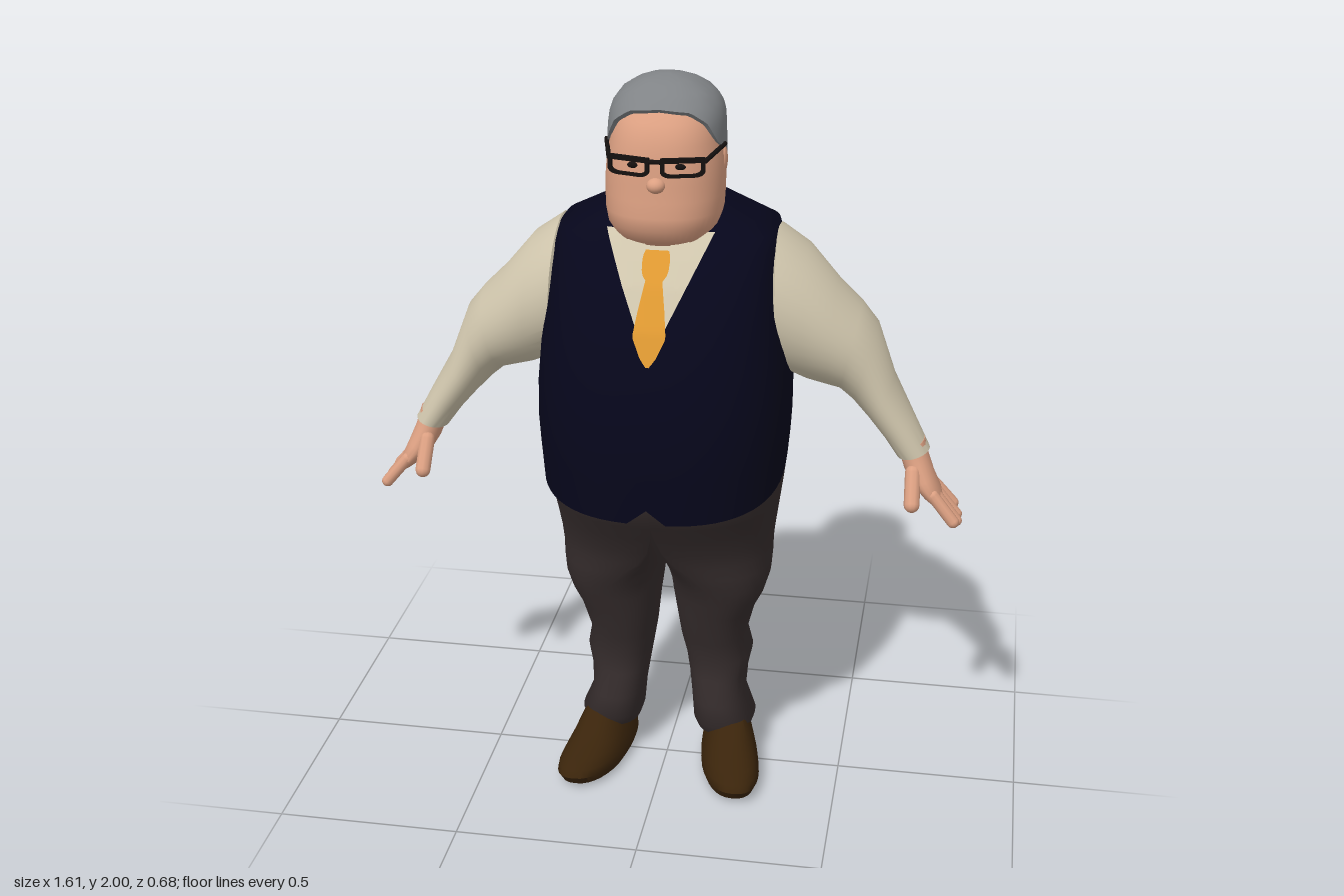
import * as THREE from 'three';
import { toCreasedNormals } from 'three/addons/utils/BufferGeometryUtils.js';

const mat = (name, color, side = THREE.FrontSide) => new THREE.MeshStandardMaterial({ name, color, side });
const V = (x, y, z) => new THREE.Vector3(x, y, z);

// Smooth skin through rings of points, capped at both ends and turned outward
function loft(rings, crease = 0.9) {
  const n = rings[0].length, pos = [], idx = [];
  rings.forEach(r => r.forEach(p => pos.push(p.x, p.y, p.z)));
  for (let i = 0; i < rings.length - 1; i++) for (let j = 0; j < n; j++) {
    const a = i * n + j, b = i * n + (j + 1) % n;
    idx.push(a, b, a + n, b, b + n, a + n);
  }
  [0, rings.length - 1].forEach(i => {
    const c = rings[i].reduce((s, p) => s.add(p), V(0, 0, 0)).divideScalar(n);
    const k = pos.length / 3;
    pos.push(c.x, c.y, c.z);
    for (let j = 0; j < n; j++) {
      const a = i * n + j, b = i * n + (j + 1) % n;
      i === 0 ? idx.push(k, b, a) : idx.push(k, a, b);
    }
  });
  const at = i => V(pos[3 * i], pos[3 * i + 1], pos[3 * i + 2]);
  let volume = 0;
  for (let i = 0; i < idx.length; i += 3) volume += at(idx[i]).dot(at(idx[i + 1]).cross(at(idx[i + 2])));
  if (volume < 0) idx.reverse();
  const g = new THREE.BufferGeometry();
  g.setAttribute('position', new THREE.Float32BufferAttribute(pos, 3));
  g.setIndex(idx);
  return toCreasedNormals(g, crease);
}

// Point on a superellipse
const sp = (v, n) => Math.sign(v) * Math.abs(v) ** (2 / n);
const section = (a, cx, y, rx, front, back, n) =>
  V(cx + rx * sp(Math.cos(a), n), y, (front + back) / 2 + (front - back) / 2 * sp(Math.sin(a), n));
const around = (seg, f) => Array.from({ length: seg }, (_, i) => f(i / seg * Math.PI * 2));
// rows: [y, half width, front z, back z]
const level = ([y, rx, f, b], n, seg = 48, cx = 0) => around(seg, a => section(a, cx, y, rx, f, b, n));

// Linear lookup in rows sorted by their first number
function sample(rows, t) {
  let i = 0;
  while (i < rows.length - 2 && t > rows[i + 1][0]) i++;
  const k = THREE.MathUtils.clamp((t - rows[i][0]) / (rows[i + 1][0] - rows[i][0]), 0, 1);
  return rows[i].map((v, j) => v + (rows[i + 1][j] - v) * k);
}

// Vest rows end with the squareness of the section
const VEST = [[0.95, 0.325, 0.33, -0.333, 2.5], [1.03, 0.332, 0.338, -0.333, 2.5], [1.1, 0.336, 0.34, -0.326, 2.5],
  [1.2, 0.336, 0.326, -0.317, 2.5], [1.3, 0.328, 0.3, -0.312, 2.6], [1.4, 0.314, 0.26, -0.308, 2.8],
  [1.5, 0.302, 0.2, -0.285, 3.2], [1.56, 0.295, 0.152, -0.258, 3.4], [1.6, 0.285, 0.118, -0.235, 3.4],
  [1.625, 0.235, 0.095, -0.218, 3.2], [1.66, 0.165, 0.06, -0.19, 3], [1.69, 0.115, 0.02, -0.155, 2.6],
  [1.7, 0.07, 0, -0.13, 2.4]];
function vestFront(x, y) {
  const [, rx, f, b, n] = sample(VEST, y);
  const k = Math.min(1, Math.abs(x) / rx);
  return (f + b) / 2 + (f - b) / 2 * (1 - k ** n) ** (1 / n);
}

// Thin cloth lying on the front of the vest between two edges
function drape(left, right, y0, y1, lift) {
  const g = new THREE.PlaneGeometry(1, 1, 10, 24), p = g.attributes.position;
  for (let i = 0; i < p.count; i++) {
    const y = y0 + (y1 - y0) * (p.getY(i) + 0.5);
    const x = left(y) + (right(y) - left(y)) * (p.getX(i) + 0.5);
    p.setXYZ(i, x, y, vestFront(x, y) + lift);
  }
  g.computeVertexNormals();
  return g;
}

export function createModel() {
  const skin = mat('skin', 0xdca082), hairGrey = mat('hair grey', 0x808386), navy = mat('navy', 0x06061b);
  const cream = mat('cream', 0xd0c6ad, THREE.DoubleSide), orange = mat('orange', 0xdf9932, THREE.DoubleSide);
  const trouser = mat('trouser brown', 0x362d2d), leather = mat('leather', 0x3a240b), black = mat('black', 0x14100f);

  const model = new THREE.Group();
  model.name = 'man';
  const add = (name, geo, material, parent = model) => {
    const m = new THREE.Mesh(geo, material);
    m.name = name;
    parent.add(m);
    return m;
  };
  const ball = (name, m, parent, x, y, z, sx, sy, sz) => {
    const o = add(name, new THREE.SphereGeometry(1, 20, 14), m, parent);
    o.position.set(x, y, z);
    o.scale.set(sx, sy, sz);
  };
  const rod = (name, m, parent, a, b, r) => {
    const d = b.clone().sub(a);
    const o = add(name, new THREE.CapsuleGeometry(r, d.length() - 2 * r, 5, 10), m, parent);
    o.position.copy(a).add(b).multiplyScalar(0.5);
    o.quaternion.setFromUnitVectors(V(0, 1, 0), d.normalize());
  };

  // Vest: hem drops toward the front, with a notch in the middle
  const vestRings = VEST.map(r => level(r, r[4], 64));
  vestRings[0].forEach(p => {
    p.y = 0.945 - 0.16 * p.z;
    if (p.z > 0 && Math.abs(p.x) < 0.02) p.y += 0.04;
  });
  vestRings[1].forEach(p => { p.y -= 0.05 * p.z; });
  add('vest', loft(vestRings), navy);

  // Shirt front, collar and tie
  const neck = y => 0.14 * (y - 1.33) / 0.29;
  add('shirtFront', drape(y => -neck(y), neck, 1.33, 1.62, 0.006), cream);
  const TIE = [[1.32, 0.004], [1.34, 0.02], [1.39, 0.043], [1.45, 0.034], [1.515, 0.022], [1.53, 0.034], [1.565, 0.036],
    [1.58, 0.03]];
  const tie = y => sample(TIE, y)[1];
  add('tie', drape(y => -tie(y), tie, 1.32, 1.58, 0.013), orange);
  const inner = y => 0.03 + (1.6 - y) * 0.25, outer = y => inner(y) + 0.002 + (y - 1.49) * 0.6;
  add('collarLeft', drape(inner, outer, 1.49, 1.6, 0.014), cream);
  add('collarRight', drape(y => -outer(y), y => -inner(y), 1.49, 1.6, 0.014), cream);

  // Limbs, one group for each side
  for (const s of [1, -1]) {
    const side = new THREE.Group();
    side.name = s > 0 ? 'leftLimbs' : 'rightLimbs';
    side.scale.x = s;
    model.add(side);

    // Trouser half, meeting its mirror at x = 0 above the crotch
    // rows: y, inner x, middle x, outer x, front z, back z
    add('trouserLeg', loft([[1.04, 0, 0, 0.312, 0.28, -0.31], [0.96, 0, 0, 0.32, 0.31, -0.337],
      [0.9, 0, 0, 0.319, 0.3, -0.338], [0.85, 0, 0, 0.312, 0.27, -0.326], [0.8, 0, 0.006, 0.305, 0.237, -0.302],
      [0.74, 0, 0.022, 0.297, 0.2, -0.272], [0.69, 0, 0.055, 0.292, 0.175, -0.246], [0.65, 0.003, 0.1, 0.291, 0.16, -0.23],
      [0.6, 0.012, 0.14, 0.287, 0.14, -0.21], [0.55, 0.018, 0.145, 0.272, 0.122, -0.19],
      [0.5, 0.025, 0.138, 0.247, 0.105, -0.175], [0.4, 0.037, 0.13, 0.222, 0.07, -0.17],
      [0.33, 0.05, 0.142, 0.236, 0.05, -0.184], [0.27, 0.06, 0.142, 0.224, 0.052, -0.182],
      [0.2, 0.07, 0.146, 0.22, 0.07, -0.168], [0.13, 0.075, 0.162, 0.25, 0.066, -0.152],
      [0.1, 0.085, 0.165, 0.24, 0.05, -0.148]]
      .map(([y, a, c, b, f, k]) => around(40, t => section(t, c, y, Math.cos(t) > 0 ? b - c : c - a, f, k, 2.35)))),
      trouser, side);

    // Shoe: toes turned out and slightly raised
    const shoeRings = [[0, 0.074, 0.235, -0.135], [0.025, 0.083, 0.253, -0.143], [0.045, 0.081, 0.243, -0.143],
      [0.065, 0.076, 0.205, -0.142], [0.085, 0.07, 0.15, -0.14], [0.115, 0.062, 0.095, -0.138], [0.145, 0.05, 0.06, -0.125]]
      .map(r => level(r, 2.4, 32, 0.182));
    shoeRings.flat().forEach(p => {
      p.x += 0.18 * p.z;
      p.y += p.z > 0.1 ? (p.z - 0.1) * 0.1 : 0;
    });
    add('shoe', loft(shoeRings), leather, side);

    // Sleeve rows: upper edge x, y, lower edge x, y, front z, back z
    add('sleeve', loft([[0.255, 1.55, 0.26, 1.28, 0.05, -0.17], [0.29, 1.602, 0.305, 1.215, 0.115, -0.23],
      [0.365, 1.55, 0.375, 1.185, 0.105, -0.226], [0.445, 1.455, 0.43, 1.17, 0.085, -0.216],
      [0.51, 1.39, 0.46, 1.16, 0.065, -0.21], [0.555, 1.335, 0.495, 1.13, 0.052, -0.196],
      [0.605, 1.2, 0.54, 1.085, 0.043, -0.16], [0.66, 1.1, 0.585, 1.035, 0.038, -0.118],
      [0.708, 1.01, 0.622, 0.985, 0.034, -0.09]]
      .map(([ux, uy, lx, ly, f, b]) => around(32, a => {
        const c = 0.5 + Math.cos(a) / 2;
        return V(lx + (ux - lx) * c, ly + (uy - ly) * c, (f + b) / 2 + (f - b) / 2 * Math.sin(a));
      }))), cream, side);

    // Hand
    const hand = new THREE.Group();
    hand.name = 'hand';
    side.add(hand);
    add('palm', loft([[0.66, 1.02, 0.04, 0.026, -0.075], [0.675, 0.975, 0.038, 0.034, -0.066],
      [0.695, 0.935, 0.034, 0.055, -0.062], [0.722, 0.895, 0.026, 0.057, -0.062], [0.738, 0.872, 0.016, 0.05, -0.056]]
      .map(([x, y, t, f, b]) => around(20, a => {
        const c = t * Math.cos(a);
        return V(x + c * 0.85, y + c * 0.5, (f + b) / 2 + (f - b) / 2 * Math.sin(a));
      }))), skin, hand);
    [[0.04, 0.056, 0.82], [0.011, 0.017, 0.808], [-0.018, -0.02, 0.81], [-0.045, -0.054, 0.828]].forEach(([z0, z1, y], i) =>
      rod('finger' + (i + 1), skin, hand, V(0.715, 0.912, z0), V(0.8 - (y - 0.808) * 0.6, y, z1), 0.0165));
    rod('thumb', skin, hand, V(0.668, 0.975, 0.018), V(0.672, 0.868, 0.09), 0.021);
  }

  // Head
  const head = new THREE.Group();
  head.name = 'head';
  model.add(head);
  add('face', loft([[1.555, 0.06, 0.085, -0.1], [1.575, 0.1, 0.12, -0.12], [1.6, 0.128, 0.152, -0.125],
    [1.635, 0.145, 0.178, -0.13], [1.67, 0.151, 0.182, -0.132], [1.71, 0.153, 0.175, -0.135], [1.75, 0.153, 0.174, -0.14],
    [1.8, 0.15, 0.168, -0.145], [1.85, 0.141, 0.163, -0.148], [1.9, 0.13, 0.14, -0.14], [1.95, 0.1, 0.09, -0.1]]
    .map(r => level(r, 2.3))), skin, head);
  ball('nose', skin, head, 0, 1.755, 0.17, 0.024, 0.02, 0.024);
  for (const s of [1, -1]) {
    ball('ear', skin, head, s * 0.147, 1.785, 0.005, 0.01, 0.036, 0.022);
    ball('eye', black, head, s * 0.06, 1.803, 0.16, 0.014, 0.008, 0.006);
  }

  // Hair: each ring runs from the hairline up to the crown
  const HAIR = [[1.68, 0.125, 0.12, -0.14], [1.73, 0.146, 0.15, -0.16], [1.8, 0.152, 0.166, -0.17],
    [1.86, 0.15, 0.166, -0.174], [1.9, 0.148, 0.151, -0.17], [1.93, 0.139, 0.128, -0.157], [1.96, 0.117, 0.096, -0.132],
    [1.985, 0.075, 0.052, -0.09], [1.995, 0.045, 0.02, -0.058], [2, 0.012, -0.008, -0.03]];
  const HAIRLINE = [[0, 1.935], [30, 1.928], [50, 1.9], [70, 1.84], [88, 1.82], [98, 1.79], [108, 1.71], [180, 1.685]];
  const crown = [0, 0.15, 0.3, 0.45, 0.6, 0.7, 0.8, 0.88, 0.94, 0.98, 1].map(t => around(64, a => {
    const fromFront = Math.acos(THREE.MathUtils.clamp(Math.sin(a), -1, 1)) * 180 / Math.PI;
    const y = THREE.MathUtils.lerp(sample(HAIRLINE, fromFront)[1], 2, t);
    const [, rx, f, b] = sample(HAIR, y);
    return section(a, 0, y, rx, f, b, 2.3);
  }));
  add('hair', loft(crown), hairGrey, head);

  // Glasses
  const glasses = new THREE.Group();
  glasses.name = 'glasses';
  head.add(glasses);
  const box = (path, w, bottom, top) => path.moveTo(-w, bottom * 0.5).quadraticCurveTo(-w * 0.9, bottom, -w * 0.5, bottom)
    .lineTo(w * 0.5, bottom).quadraticCurveTo(w * 0.9, bottom, w, bottom * 0.5).lineTo(w, top).lineTo(-w, top).closePath();
  const rim = new THREE.Shape(), hole = new THREE.Path();
  box(rim, 0.056, -0.026, 0.024);
  box(hole, 0.046, -0.018, 0.011);
  rim.holes.push(hole);
  const rimGeo = new THREE.ExtrudeGeometry(rim, { depth: 0.008, bevelEnabled: false, curveSegments: 6 });
  for (const s of [1, -1]) {
    const r = add('rim', rimGeo, black, glasses);
    r.position.set(s * 0.067, 1.806, 0.17);
    r.rotation.y = s * 0.28;
    rod('temple', black, glasses, V(s * 0.12, 1.818, 0.16), V(s * 0.154, 1.832, 0.02), 0.006);
  }
  rod('bridge', black, glasses, V(-0.02, 1.82, 0.187), V(0.02, 1.82, 0.187), 0.006);

  return model;
}
